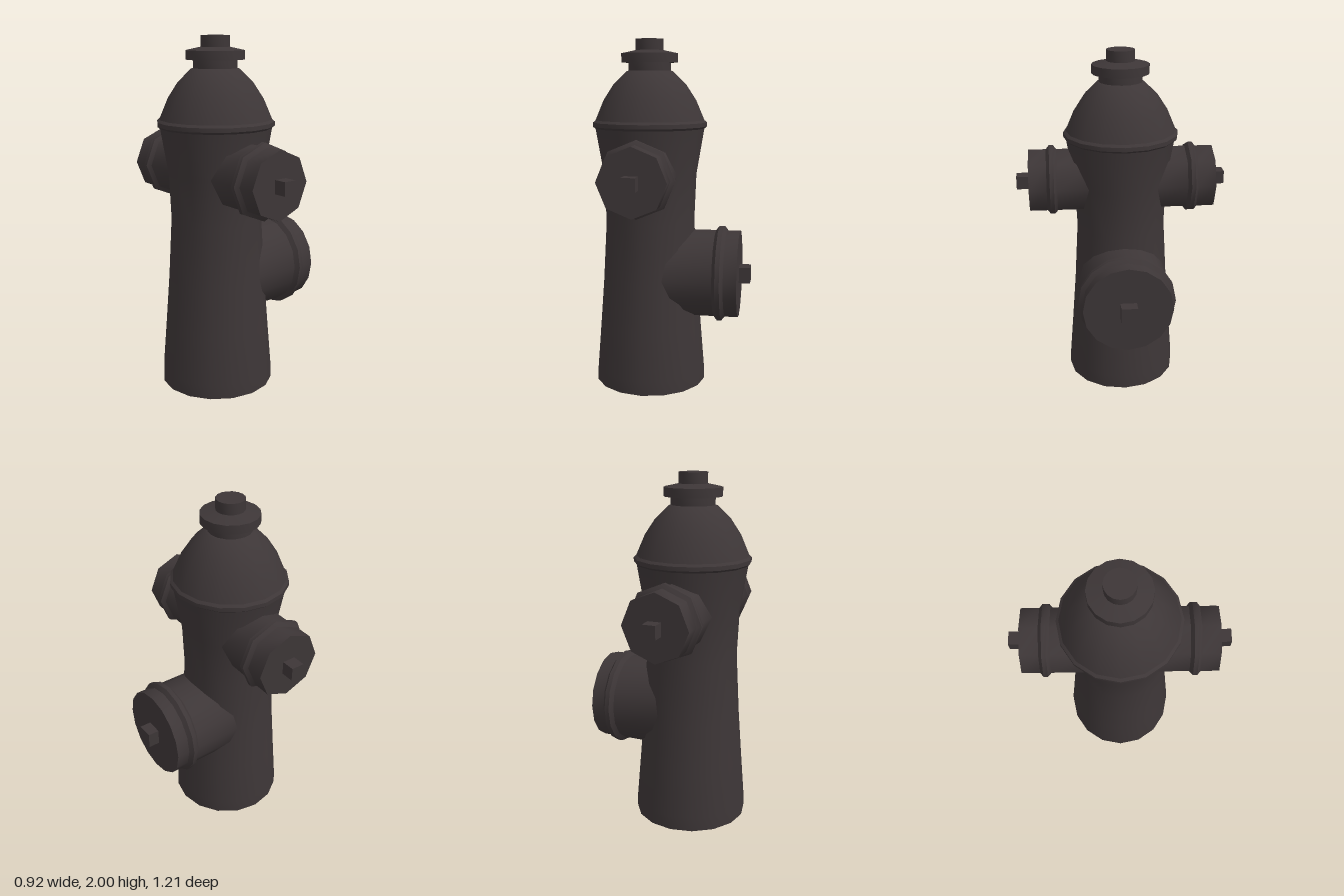
import * as THREE from 'three';
import { toCreasedNormals } from 'three/addons/utils/BufferGeometryUtils.js';

const iron = new THREE.MeshStandardMaterial({ color: 0x3d3637, side: THREE.DoubleSide });
iron.name = 'dark iron';

// Turned part: smooth around, sharp at strong profile corners
function turned(name, profile, sides) {
  const points = profile.map(([r, y]) => new THREE.Vector2(r, y));
  const geometry = toCreasedNormals(new THREE.LatheGeometry(points, sides), 0.82);
  const mesh = new THREE.Mesh(geometry, iron);
  mesh.name = name;
  return mesh;
}

// Hose outlet built along +y: pipe, raised ring, flat cap and square nut
function outlet(name, { radius, start, ring, ringWidth, lip, end, nut, nutEnd, sides }) {
  const group = new THREE.Group();
  group.name = name;
  const half = ringWidth / 2;
  group.add(turned('outletPipe', [
    [radius, start], [radius, ring - half],
    [radius + lip, ring - half * 0.4], [radius + lip, ring + half * 0.4],
    [radius, ring + half], [radius, end], [0, end],
  ], sides));
  const square = new THREE.Mesh(new THREE.BoxGeometry(nut, nutEnd - end, nut), iron);
  square.name = 'outletNut';
  square.position.y = (end + nutEnd) / 2;
  group.add(square);
  return group;
}

export function createModel() {
  const model = new THREE.Group();
  model.name = 'hydrant';
  const hydrant = new THREE.Group();
  hydrant.name = 'hydrantAssembly';
  hydrant.position.x = -0.133;
  model.add(hydrant);

  // Waisted barrel, open underneath
  hydrant.add(turned('barrel', [
    [0.325, 0], [0.323, 0.08], [0.301, 0.35], [0.28, 0.62],
    [0.26, 0.97], [0.271, 1.24], [0.315, 1.5],
  ], 16));

  // Rim and domed bonnet
  hydrant.add(turned('rim', [
    [0.315, 1.5], [0.33, 1.512], [0.33, 1.535], [0.315, 1.548],
  ], 16));
  hydrant.add(turned('dome', [
    [0.315, 1.548], [0.267, 1.66], [0.21, 1.747], [0.135, 1.82], [0.123, 1.824],
  ], 16));

  // Neck, collar and operating stem
  hydrant.add(turned('collar', [
    [0.123, 1.82], [0.123, 1.87], [0.163, 1.87], [0.163, 1.92], [0.08, 1.938],
  ], 16));
  hydrant.add(turned('stem', [[0.08, 1.93], [0.08, 2], [0, 2]], 16));

  // Matching small outlets at front and back
  for (const side of [1, -1]) {
    const small = outlet(side > 0 ? 'frontOutlet' : 'backOutlet', {
      radius: 0.189, start: 0.17, ring: 0.402, ringWidth: 0.06, lip: 0.023,
      end: 0.533, nut: 0.075, nutEnd: 0.607, sides: 8,
    });
    small.position.y = 1.25;
    small.rotation.x = side * Math.PI / 2;
    hydrant.add(small);
  }

  // Large outlet on the left
  const large = outlet('leftOutlet', {
    radius: 0.255, start: 0.09, ring: 0.421, ringWidth: 0.064, lip: 0.024,
    end: 0.528, nut: 0.092, nutEnd: 0.593, sides: 16,
  });
  large.position.y = 0.657;
  large.rotation.z = -Math.PI / 2;
  hydrant.add(large);

  return model;
}
